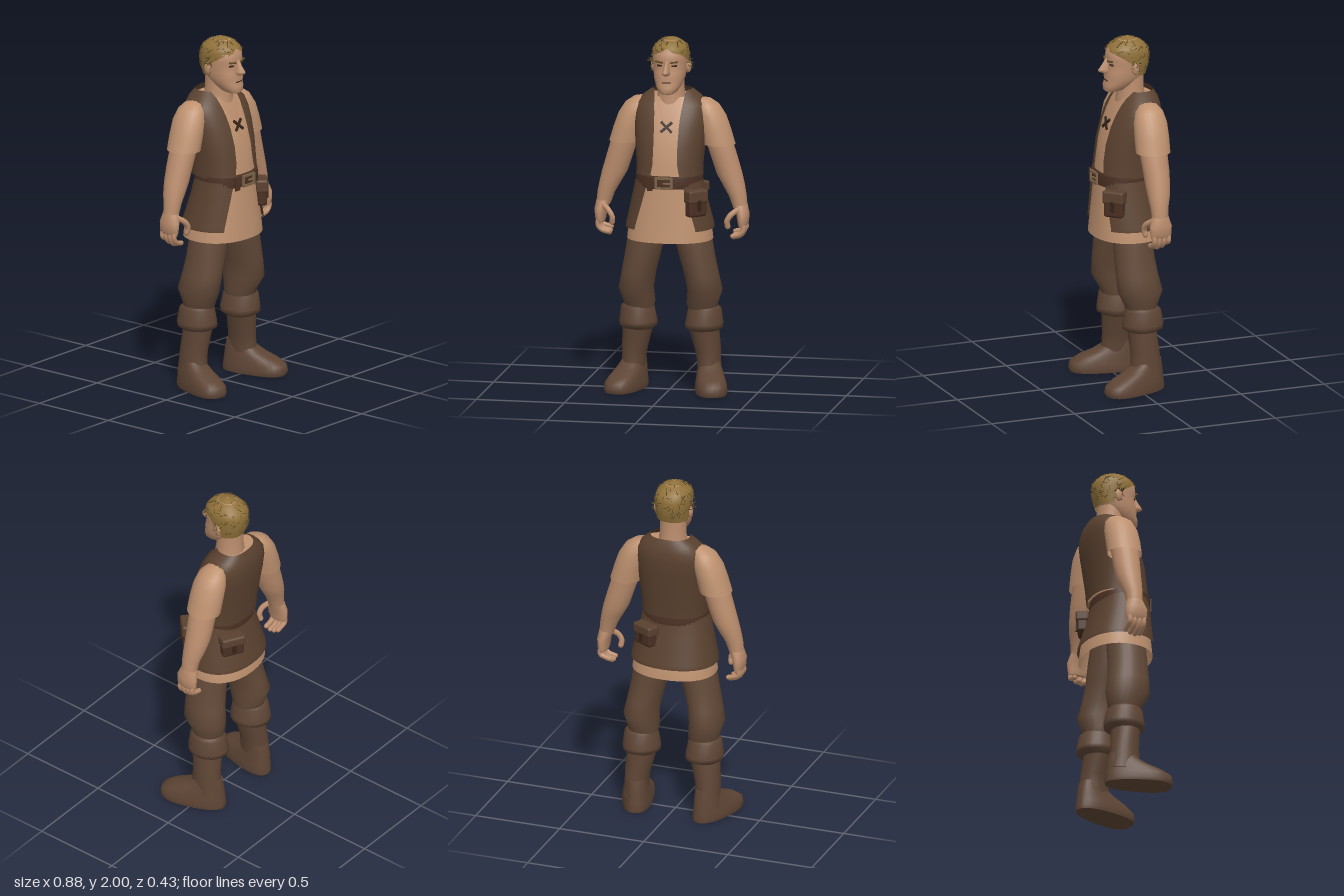
import * as THREE from 'three';
import { mergeGeometries } from 'three/addons/utils/BufferGeometryUtils.js';
import { RoundedBoxGeometry } from 'three/addons/geometries/RoundedBoxGeometry.js';

const mat = (name, color, side = THREE.FrontSide) =>
  Object.assign(new THREE.MeshStandardMaterial({ color, side }), { name });

// A ring is [y, centreX, halfWidth, zFront, zBack, startAngle, endAngle]; angle 0 faces +z.
function ringPoint([y, cx, rx, zf, zb], t, e = 1) {
  const p = (v) => Math.sign(v) * Math.pow(Math.abs(v), e);
  return new THREE.Vector3(cx + rx * p(Math.sin(t)), y, (zf + zb) / 2 + ((zf - zb) / 2) * p(Math.cos(t)));
}

// Skin through rings listed from bottom to top.
function loft(rings, { n = 24, e = 1, caps = false } = {}) {
  const pos = [], idx = [];
  const closed = rings[0].length < 7, cols = closed ? n : n + 1;
  for (const r of rings) {
    const [a, b] = closed ? [0, Math.PI * 2] : [r[5], r[6]];
    for (let i = 0; i < cols; i++) pos.push(...ringPoint(r, a + ((b - a) * i) / n, e).toArray());
  }
  for (let j = 0; j < rings.length - 1; j++)
    for (let i = 0; i < n; i++) {
      const a = j * cols + i, b = j * cols + ((i + 1) % cols);
      idx.push(a, b, b + cols, a, b + cols, a + cols);
    }
  if (caps) for (const top of [false, true]) {
    const r = rings[top ? rings.length - 1 : 0], c = pos.length / 3;
    pos.push(r[1], r[0], (r[3] + r[4]) / 2);
    for (let i = 0; i < n; i++) pos.push(...ringPoint(r, (i / n) * Math.PI * 2, e).toArray());
    for (let i = 0; i < n; i++) {
      const a = c + 1 + i, b = c + 1 + ((i + 1) % n);
      idx.push(...(top ? [c, a, b] : [c, b, a]));
    }
  }
  const g = new THREE.BufferGeometry();
  g.setAttribute('position', new THREE.Float32BufferAttribute(pos, 3));
  g.setIndex(idx);
  g.computeVertexNormals();
  return g;
}

// Ring at any height, and a ring widened by d
function ringAt(rings, y) {
  const j = Math.max(1, rings.findIndex((r, i) => i && (r[0] >= y || i === rings.length - 1)));
  const a = rings[j - 1], b = rings[j], k = (y - a[0]) / (b[0] - a[0]);
  return a.slice(0, 5).map((v, i) => v + (b[i] - v) * k);
}
const grow = ([y, cx, rx, zf, zb], d) => [y, cx, rx + d, zf + d, zb - d];

export function createModel() {
  const DS = THREE.DoubleSide;
  const skin = mat('skin', 0xbb8d6d), cloth = mat('tunic cloth', 0xbf9270, DS);
  const vestMat = mat('vest leather', 0x5a412f, DS), trousers = mat('trouser cloth', 0x614837, DS);
  const boots = mat('boot leather', 0x5e4535), belt = mat('belt leather', 0x4b3023);
  const metal = mat('buckle metal', 0x7d6347), hair = mat('hair', 0x90713a, DS);
  const strand = mat('hair strands', 0x5f4c25), dark = mat('dark details', 0x352318);

  const model = new THREE.Group();
  const add = (name, geo, m, p = [0, 0, 0], r = [0, 0, 0], parent = model) => {
    const mesh = new THREE.Mesh(geo, m);
    mesh.name = name;
    mesh.position.set(...p);
    mesh.rotation.set(...r);
    parent.add(mesh);
    return mesh;
  };
  const box = (w, h, d) => new THREE.BoxGeometry(w, h, d);

  // Vest, tunic and bare chest share one torso form
  const torso = [
    [1.22, 0, 0.186, 0.168, -0.158], [1.3, 0, 0.186, 0.158, -0.165], [1.4, 0, 0.195, 0.142, -0.178],
    [1.5, 0, 0.205, 0.112, -0.19], [1.57, 0, 0.208, 0.082, -0.195], [1.62, 0, 0.198, 0.055, -0.19],
    [1.66, 0, 0.16, 0.03, -0.18], [1.695, 0, 0.112, 0.005, -0.16],
  ];
  const gap = [0.085, 0.07, 0.068, 0.07, 0.074, 0.08, 0.085, 0.09];
  add('vest', loft(torso.map((r, i) => {
    const a = Math.asin(Math.pow(gap[i] / r[2], 1 / 0.85));
    return [...r, a, Math.PI * 2 - a];
  }), { n: 40, e: 0.85 }), vestMat);
  const under = torso.slice(0, 7).map((r) => grow(r, -0.012));
  add('tunicBody', loft(under, { n: 40, e: 0.85, caps: true }), cloth);
  add('chest', loft([[1.44, 0.004], [1.5, 0.016], [1.57, 0.045], [1.62, 0.065], [1.66, 0.075]].map(([y, x]) => {
    const r = grow(ringAt(under, y), 0.004), a = Math.asin(Math.pow(x / r[2], 1 / 0.85));
    return [...r, -a, a];
  }), { n: 8, e: 0.85 }), skin);
  for (const s of [-1, 1]) add('lace', box(0.085, 0.014, 0.008), dark, [0, 1.505, 0.106], [-0.32, 0, s * 0.75]);

  // Tunic skirt with the darker vest tails over it
  const skirt = [
    [0.86, 0, 0.24, 0.186, -0.2], [0.95, 0, 0.23, 0.178, -0.19],
    [1.1, 0, 0.195, 0.166, -0.145], [1.21, 0, 0.172, 0.158, -0.122],
  ];
  add('tunicSkirt', loft(skirt, { n: 36, e: 0.9 }), cloth);
  add('vestTails', loft([[0.925, 0.74], [0.95, 0.72], [1.1, 0.6], [1.2, 0.5]].map(([y, a]) =>
    [...grow(ringAt(skirt, y), 0.014), a, Math.PI * 2 - a]), { n: 36, e: 0.9 }), vestMat);

  // Belt, buckle and pouches
  add('belt', loft([[1.165, 0, 0.184, 0.172, -0.14], [1.17, 0, 0.189, 0.177, -0.145],
    [1.23, 0, 0.185, 0.175, -0.14], [1.235, 0, 0.18, 0.17, -0.135]], { n: 36, e: 0.9, caps: true }), belt);
  const frame = new THREE.Shape([[-0.05, -0.034], [0.05, -0.034], [0.05, 0.034], [-0.05, 0.034]].map((p) => new THREE.Vector2(...p)));
  frame.holes.push(new THREE.Path([[-0.038, -0.022], [-0.038, 0.022], [0.038, 0.022], [0.038, -0.022]].map((p) => new THREE.Vector2(...p))));
  add('buckle', new THREE.ExtrudeGeometry(frame, { depth: 0.012, bevelEnabled: false }), metal, [0, 1.2, 0.174]);
  add('bucklePin', box(0.05, 0.008, 0.01), metal, [0.02, 1.2, 0.184]);
  add('beltEnd', box(0.03, 0.075, 0.009), belt, [-0.085, 1.19, 0.168], [0, -0.25, 0.1]);
  const pouch = (p, ry, w, h, d) => {
    const g = new THREE.Group();
    g.name = 'pouch';
    g.position.set(...p);
    g.rotation.y = ry;
    model.add(g);
    add('pouchBag', new RoundedBoxGeometry(w, h, d, 2, 0.016), belt, [0, 0, 0], [0, 0, 0], g);
    add('pouchFlap', new RoundedBoxGeometry(w + 0.012, h * 0.5, d + 0.012, 2, 0.014), vestMat, [0, h * 0.27, 0], [0, 0, 0], g);
    add('pouchStrap', box(0.02, h * 0.4, 0.008), dark, [0, -0.01, d / 2 + 0.006], [0, 0, 0], g);
  };
  pouch([0.172, 1.085, 0.126], 0.78, 0.115, 0.15, 0.06);
  pouch([0.12, 1.1, -0.15], Math.PI - 0.5, 0.13, 0.12, 0.065);

  // Neck and head
  add('neck', loft([[1.56, 0, 0.1, 0.05, -0.13], [1.63, 0, 0.083, 0.045, -0.125], [1.7, 0, 0.074, 0.035, -0.115],
    [1.78, 0, 0.074, 0.035, -0.115]], { caps: true }), skin);
  const head = [
    [1.69, 0, 0.032, 0.108, 0.05], [1.7, 0, 0.05, 0.12, 0.0], [1.73, 0, 0.07, 0.12, -0.05], [1.755, 0, 0.08, 0.11, -0.08],
    [1.775, 0, 0.086, 0.113, -0.1], [1.81, 0, 0.091, 0.106, -0.12], [1.85, 0, 0.093, 0.097, -0.135], [1.875, 0, 0.096, 0.106, -0.138],
    [1.92, 0, 0.094, 0.1, -0.136], [1.96, 0, 0.078, 0.07, -0.11], [1.985, 0, 0.045, 0.03, -0.07],
  ];
  add('head', loft(head, { n: 32, e: 0.88, caps: true }), skin);
  add('nose', loft([[1.797, 0, 0.016, 0.125, 0.08], [1.808, 0, 0.024, 0.152, 0.07], [1.82, 0, 0.02, 0.154, 0.07],
    [1.85, 0, 0.014, 0.13, 0.07], [1.885, 0, 0.012, 0.108, 0.07]], { n: 10, caps: true }), skin);
  add('mouth', box(0.048, 0.006, 0.008), dark, [0, 1.757, 0.107]);
  for (const s of [-1, 1]) {
    add('eye', box(0.03, 0.009, 0.008), dark, [s * 0.041, 1.851, 0.09], [0, s * 0.25, 0]);
    add('brow', box(0.045, 0.009, 0.009), strand, [s * 0.042, 1.872, 0.099], [0, s * 0.25, s * 0.12]);
    add('ear', new THREE.SphereGeometry(1, 12, 8), skin, [s * 0.1, 1.83, -0.03], [0, s * -0.3, 0]).scale.set(0.014, 0.036, 0.023);
  }

  // Hair cap with loose strands
  const hairRows = [[1.785, 1.9], [1.83, 1.75], [1.87, 1.4], [1.905, 0.95], [1.925, 0.3], [1.945, 0], [1.97, 0], [1.988, 0], [1.997, 0]];
  const hairForm = [[1.785, 0, 0.096, 0.1, -0.122], [1.85, 0, 0.102, 0.1, -0.144], [1.92, 0, 0.103, 0.106, -0.143],
    [1.96, 0, 0.086, 0.078, -0.118], [1.985, 0, 0.05, 0.035, -0.075], [1.997, 0, 0.006, -0.016, -0.026]];
  add('hairCap', loft(hairRows.map(([y, a]) => [...ringAt(hairForm, y), a, Math.PI * 2 - a]), { n: 36, e: 0.9 }), hair);
  let seed = 7;
  const rnd = () => (seed = (seed * 16807) % 2147483647) / 2147483647;
  const UP = new THREE.Vector3(0, 1, 0);
  const wisp = (a, b, w) => {
    const d = b.clone().sub(a);
    const g = new THREE.ConeGeometry(w, d.length(), 4);
    g.applyQuaternion(new THREE.Quaternion().setFromUnitVectors(UP, d.normalize()));
    return g.translate(...a.clone().add(b).multiplyScalar(0.5).toArray());
  };
  const wisps = [];
  for (let i = 0; i < 110; i++) {
    const y = 1.81 + rnd() * 0.18;
    const free = y > 1.92 ? 0 : y > 1.87 ? 1.2 : 1.7;
    const t = free + rnd() * (Math.PI * 2 - 2 * free), y2 = Math.min(1.992, y + (rnd() - 0.3) * 0.05);
    wisps.push(wisp(ringPoint(grow(ringAt(hairForm, y), 0.002), t, 0.9),
      ringPoint(grow(ringAt(hairForm, y2), 0.004 + rnd() * 0.004), t + (rnd() - 0.5) * 0.7, 0.9), 0.003));
  }
  for (let i = 0; i < 24; i++) {
    const s = i % 2 ? 1 : -1, y = 1.81 + rnd() * 0.06, z = -0.06 + rnd() * 0.05;
    wisps.push(wisp(new THREE.Vector3(s * 0.095, y, z),
      new THREE.Vector3(s * (0.115 + rnd() * 0.025), y + (rnd() - 0.5) * 0.06, z + (rnd() - 0.5) * 0.04), 0.005));
  }
  add('hairStrands', mergeGeometries(wisps), strand);

  // Limbs, mirrored
  for (const s of [-1, 1]) {
    const limb = (name, rings, m, opt) => add(name, loft(rings.map(([y, x, ...r]) => [y, x * s, ...r]), opt), m);
    limb('sleeve', [[1.39, 0.266, 0.09, 0.03, -0.165], [1.47, 0.244, 0.088, 0.03, -0.167], [1.55, 0.218, 0.086, 0.024, -0.165],
      [1.61, 0.195, 0.07, 0.005, -0.15], [1.64, 0.175, 0.045, -0.025, -0.125], [1.65, 0.165, 0.01, -0.06, -0.085]], cloth);
    limb('arm', [[1.03, 0.388, 0.04, -0.015, -0.105], [1.1, 0.372, 0.05, -0.01, -0.112], [1.16, 0.349, 0.062, -0.004, -0.13],
      [1.22, 0.325, 0.072, 0, -0.14], [1.3, 0.3, 0.074, 0.005, -0.145], [1.38, 0.275, 0.075, 0.01, -0.145], [1.5, 0.24, 0.07, 0.01, -0.15]], skin, { caps: true });
    limb('palm', [[0.925, 0.4, 0.018, -0.005, -0.112], [0.95, 0.404, 0.03, 0.005, -0.12], [1.0, 0.402, 0.036, 0.008, -0.122],
      [1.05, 0.386, 0.042, -0.012, -0.108]], skin, { caps: true });
    const digit = (name, pts, r) => {
      const c = new THREE.CatmullRomCurve3(pts.map(([x, y, z]) => new THREE.Vector3(x * s, y, z)));
      add(name, new THREE.TubeGeometry(c, 8, r, 8), skin);
      add(name + 'Tip', new THREE.SphereGeometry(r, 8, 6), skin, c.getPoint(1).toArray());
    };
    [-0.1, -0.072, -0.044, -0.016].forEach((z, i) => {
      const up = [0.022, 0.006, 0, 0.008][i];
      digit('finger', [[0.405, 0.96, z], [0.412, 0.912, z], [0.39, 0.878 + up, z], [0.352, 0.868 + up, z]], 0.0145);
    });
    digit('thumb', [[0.385, 1.03, -0.02], [0.345, 1.0, 0.008], [0.325, 0.965, 0.012], [0.328, 0.935, 0.005]], 0.016);

    limb('trouserLeg', [[0.42, 0.185, 0.075, 0.05, -0.11], [0.49, 0.178, 0.088, 0.066, -0.125], [0.57, 0.195, 0.097, 0.11, -0.148],
      [0.66, 0.178, 0.096, 0.114, -0.128], [0.76, 0.155, 0.1, 0.115, -0.115], [0.88, 0.13, 0.106, 0.113, -0.11], [1.02, 0.105, 0.1, 0.1, -0.1]], trousers, { caps: true });
    limb('bootCuff', [[0.335, 0.185, 0.08, 0.045, -0.11], [0.355, 0.186, 0.105, 0.08, -0.152], [0.38, 0.187, 0.106, 0.08, -0.155],
      [0.46, 0.19, 0.093, 0.068, -0.138], [0.475, 0.188, 0.08, 0.055, -0.12]], boots, { caps: true });
    limb('bootShaft', [[0.08, 0.218, 0.068, 0.05, -0.14], [0.16, 0.213, 0.066, 0.042, -0.13], [0.22, 0.208, 0.072, 0.04, -0.125],
      [0.35, 0.187, 0.085, 0.052, -0.112]], boots, { caps: true });
    // Foot, turned out and wider toward the toe
    const foot = loft([[0, 0, 0.082, 0.262, -0.112], [0.02, 0, 0.086, 0.27, -0.114], [0.055, 0, 0.082, 0.262, -0.11], [0.085, 0, 0.076, 0.215, -0.106],
      [0.115, 0, 0.07, 0.14, -0.102], [0.15, 0, 0.062, 0.08, -0.096], [0.18, 0, 0.058, 0.06, -0.09]], { n: 28, e: 0.8, caps: true });
    const p = foot.attributes.position;
    for (let i = 0; i < p.count; i++) p.setX(i, p.getX(i) * (0.98 + 0.7 * p.getZ(i)));
    foot.computeVertexNormals();
    add('foot', foot, boots, [s * 0.215, 0, -0.045], [0, s * 0.27, 0]);
  }
  return model;
}
